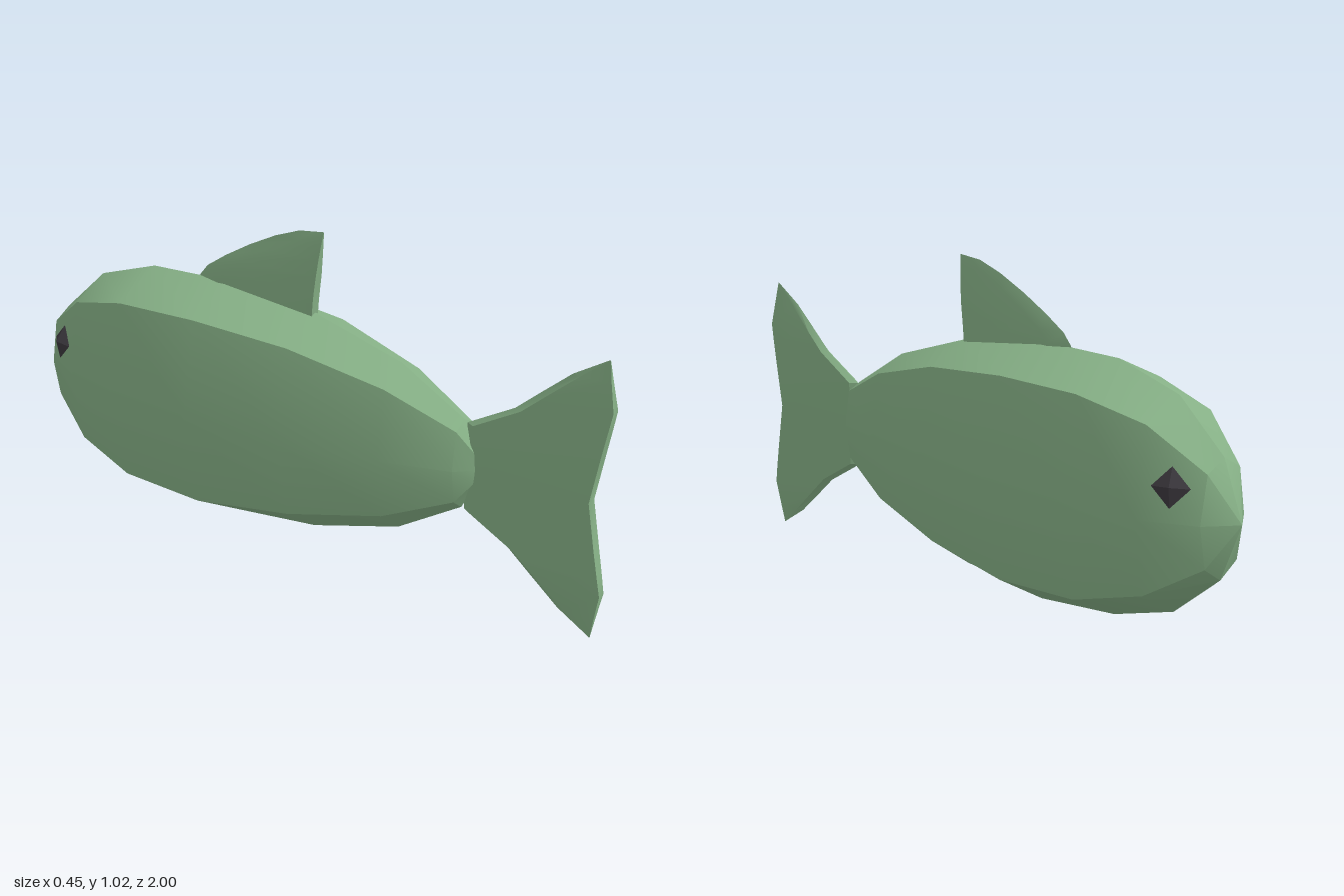
import * as THREE from 'three';
import { toCreasedNormals } from 'three/addons/utils/BufferGeometryUtils.js';

// Skin a list of closed sections (counter-clockwise seen from the advancing side), capped at both ends.
function loft(sections, crease = 0.5) {
  const pos = [];
  const tri = (a, b, c) => {
    const area = new THREE.Triangle(a, b, c).getArea();
    if (area > 1e-7) for (const p of [a, b, c]) pos.push(p.x, p.y, p.z);
  };
  const n = sections[0].length;
  const centre = (s) => s.reduce((sum, p) => sum.add(p), new THREE.Vector3()).divideScalar(n);
  const first = sections[0], last = sections[sections.length - 1];
  const c0 = centre(first), c1 = centre(last);
  for (let j = 0; j < n; j++) {
    const k = (j + 1) % n;
    for (let i = 0; i < sections.length - 1; i++) {
      const s = sections[i], t = sections[i + 1];
      tri(s[j], s[k], t[k]);
      tri(s[j], t[k], t[j]);
    }
    tri(c0, first[k], first[j]);
    tri(c1, last[j], last[k]);
  }
  const geo = new THREE.BufferGeometry();
  geo.setAttribute('position', new THREE.Float32BufferAttribute(pos, 3));
  return toCreasedNormals(geo, crease);
}

// Eight-sided body section.
function bodySection([z, top, shoulder, low, bottom, half, shoulderHalf]) {
  const mid = 0.427;
  return [
    [half, mid], [shoulderHalf, shoulder], [0, top], [-shoulderHalf, shoulder],
    [-half, mid], [-shoulderHalf, low], [0, bottom], [shoulderHalf, low],
  ].map(([x, y]) => new THREE.Vector3(x, y, z));
}

// Horizontal slice of a fin: sharp leading edge, blunt trailing edge.
function finSection([y, front, back, half], bevel) {
  const f = front + Math.min(bevel, (back - front) / 2);
  return [[half, back], [half, f], [0, front], [-half, f], [-half, back]]
    .map(([x, z]) => new THREE.Vector3(x, y, z));
}

export function createModel() {
  const group = new THREE.Group();
  const skin = new THREE.MeshStandardMaterial({ color: 0x86b086 });
  const dark = new THREE.MeshStandardMaterial({ color: 0x3c383e, flatShading: true });
  const add = (name, geo, mat) => {
    const mesh = new THREE.Mesh(geo, mat);
    mesh.name = name;
    group.add(mesh);
    return mesh;
  };

  // Body, nose to tail root: z, top, shoulder, low, bottom, half width, shoulder half width
  const stations = [
    [-1.0, 0.427, 0.427, 0.427, 0.427, 0, 0],
    [-0.935, 0.595, 0.56, 0.305, 0.262, 0.09, 0.066],
    [-0.78, 0.735, 0.675, 0.21, 0.135, 0.167, 0.13],
    [-0.565, 0.802, 0.728, 0.155, 0.072, 0.22, 0.17],
    [-0.28, 0.81, 0.735, 0.143, 0.046, 0.225, 0.173],
    [0.04, 0.775, 0.71, 0.18, 0.08, 0.19, 0.146],
    [0.34, 0.688, 0.638, 0.24, 0.165, 0.125, 0.096],
    [0.55, 0.567, 0.543, 0.325, 0.292, 0.062, 0.046],
    [0.6, 0.475, 0.47, 0.39, 0.385, 0.016, 0.013],
  ];
  add('body', loft(stations.map(bodySection)), skin);

  // Back fin: y, leading z, trailing z, half thickness
  const finRows = [
    [0.72, -0.4, 0.035, 0.016],
    [0.81, -0.385, 0.042, 0.016],
    [0.845, -0.355, 0.046, 0.016],
    [0.89, -0.285, 0.052, 0.015],
    [0.94, -0.195, 0.058, 0.011],
    [0.985, -0.1, 0.064, 0.006],
    [1.015, -0.015, 0.068, 0.002],
    [1.024, 0.066, 0.07, 0],
  ];
  add('backFin', loft(finRows.map((r) => finSection(r, 0.08))), skin);

  // Tail fin: lower half rows, mirrored about the body axis
  const lower = [
    [0.008, 0.973, 0.975, 0],
    [0.07, 0.87, 0.985, 0.007],
    [0.15, 0.775, 1.0, 0.014],
    [0.21, 0.705, 0.989, 0.016],
    [0.29, 0.56, 0.974, 0.017],
  ];
  const upper = lower.map(([y, ...rest]) => [0.85 - y, ...rest]).reverse();
  const tailRows = [...lower, [0.425, 0.55, 0.95, 0.017], ...upper];
  add('tailFin', loft(tailRows.map((r) => finSection(r, 0.025))), skin);

  // Eyes: flattened diamonds lying on the sides of the head
  for (const side of [1, -1]) {
    const eye = add(side > 0 ? 'leftEye' : 'rightEye', new THREE.OctahedronGeometry(1), dark);
    eye.scale.set(0.022, 0.055, 0.053);
    eye.position.set(side * 0.121, 0.522, -0.86);
    eye.rotation.set(0, side * 0.44, side * 0.2);
  }
  return group;
}
